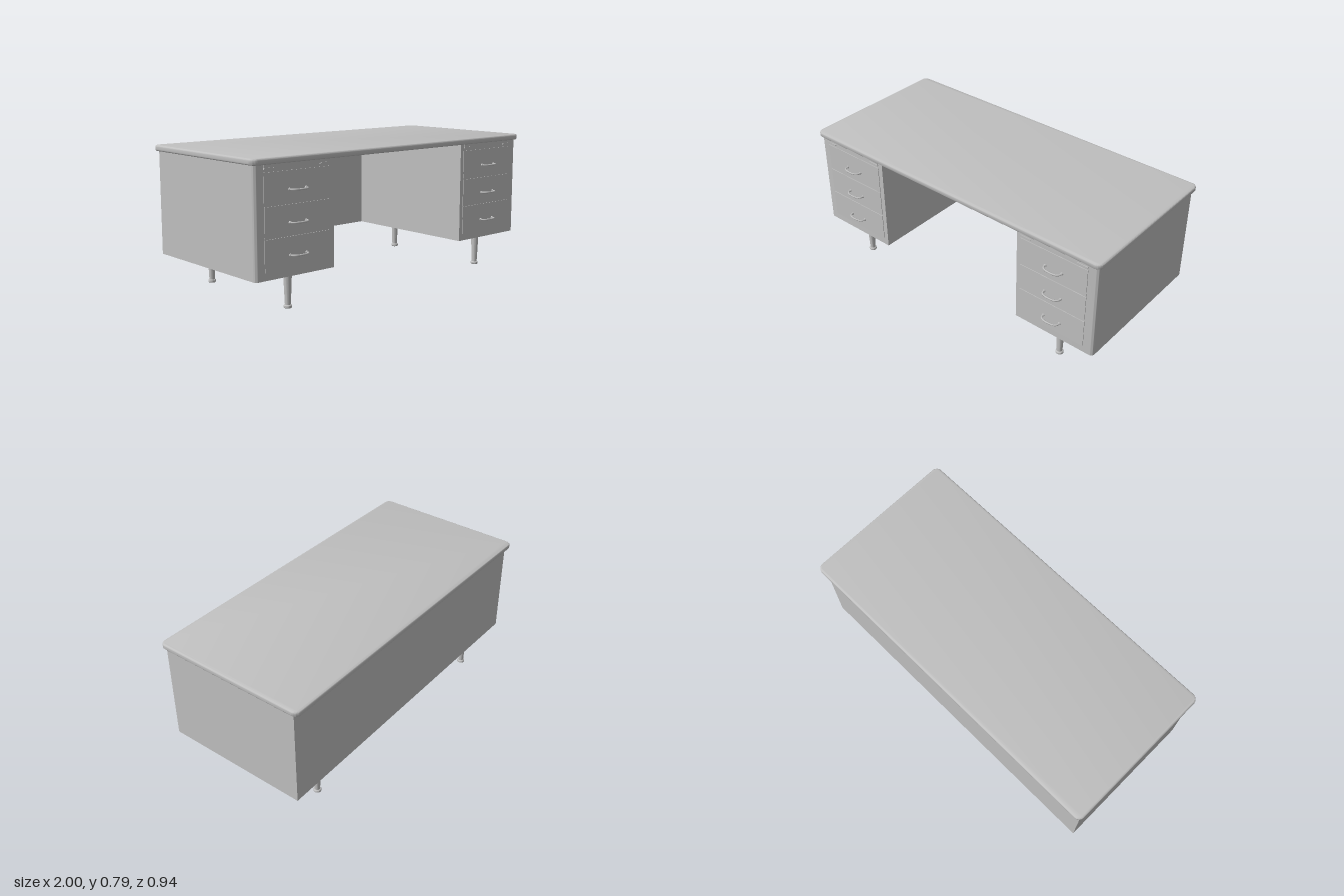
import * as THREE from 'three';
import { toCreasedNormals } from 'three/addons/utils/BufferGeometryUtils.js';

const steel = new THREE.MeshStandardMaterial({ color: 0xbfbfbf });
steel.name = 'grey steel';

function add(parent, name, geometry, x = 0, y = 0, z = 0) {
  const mesh = new THREE.Mesh(geometry, steel);
  mesh.name = name;
  mesh.position.set(x, y, z);
  parent.add(mesh);
  return mesh;
}

// Box given by its limits
function block(parent, name, x0, x1, y0, y1, z0, z1) {
  return add(parent, name, new THREE.BoxGeometry(x1 - x0, y1 - y0, z1 - z0),
    (x0 + x1) / 2, (y0 + y1) / 2, (z0 + z1) / 2);
}

// Upright slab with rounded plan corners: radii are [frontLeft, frontRight, backRight, backLeft] in x, z
function slab(x0, x1, y0, y1, z0, z1, [a, b, c, d], bevel = 0) {
  const l = x0 + bevel, r = x1 - bevel, f = -z1 + bevel, k = -z0 - bevel;
  const s = new THREE.Shape();
  s.moveTo(l + a, f);
  s.lineTo(r - b, f);
  if (b) s.absarc(r - b, f + b, b, -Math.PI / 2, 0);
  s.lineTo(r, k - c);
  if (c) s.absarc(r - c, k - c, c, 0, Math.PI / 2);
  s.lineTo(l + d, k);
  if (d) s.absarc(l + d, k - d, d, Math.PI / 2, Math.PI);
  s.lineTo(l, f + a);
  if (a) s.absarc(l + a, f + a, a, Math.PI, Math.PI * 1.5);
  const g = new THREE.ExtrudeGeometry(s, {
    depth: y1 - y0 - 2 * bevel, curveSegments: 6,
    bevelEnabled: bevel > 0, bevelSize: bevel, bevelThickness: bevel, bevelSegments: 4,
  });
  g.rotateX(-Math.PI / 2).translate(0, y0 + bevel, 0);
  return toCreasedNormals(g, 0.7);
}

// Bowed drawer pull with two round bases
function pull(parent, x, y) {
  const handle = new THREE.Group();
  handle.name = 'drawerPull';
  handle.position.set(x, y, 0.43);
  const path = new THREE.CatmullRomCurve3([
    [-0.052, 0], [-0.05, 0.018], [-0.037, 0.031], [0, 0.037], [0.037, 0.031], [0.05, 0.018], [0.052, 0],
  ].map(([px, pz]) => new THREE.Vector3(px, 0, pz)));
  add(handle, 'pullBar', new THREE.TubeGeometry(path, 28, 0.005, 8));
  for (const side of [-1, 1]) {
    const base = new THREE.CylinderGeometry(0.007, 0.008, 0.008, 12).rotateX(Math.PI / 2);
    add(handle, 'pullBase', base, side * 0.052, 0, 0.006);
  }
  parent.add(handle);
}

const legProfile = [
  [0, 0], [0.018, 0], [0.022, 0.004], [0.022, 0.013], [0.019, 0.017],
  [0.0155, 0.018], [0.0225, 0.185], [0, 0.185],
].map(([r, y]) => new THREE.Vector2(r, y));
const legGeometry = toCreasedNormals(new THREE.LatheGeometry(legProfile, 20), 0.6);

export function createModel() {
  const desk = new THREE.Group();
  desk.name = 'desk';

  // Top and back panel
  add(desk, 'deskTop', slab(-1, 1, 0.756, 0.789, -0.472, 0.445, [0.025, 0.025, 0.025, 0.025], 0.01));
  block(desk, 'backPanel', -0.49, 0.49, 0.188, 0.757, -0.438, -0.42);

  for (const side of [-1, 1]) {
    const pedestal = new THREE.Group();
    pedestal.name = side > 0 ? 'leftPedestal' : 'rightPedestal';
    desk.add(pedestal);

    // Cabinet with a softened outer front corner
    const [x0, x1] = side > 0 ? [0.485, 0.983] : [-0.983, -0.485];
    const radii = side > 0 ? [0, 0.02, 0, 0] : [0.02, 0, 0, 0];
    add(pedestal, 'cabinet', slab(x0, x1, 0.188, 0.757, -0.438, 0.428, radii));

    // Three drawer fronts with narrow gaps
    const d0 = side > 0 ? 0.51 : -0.927, d1 = d0 + 0.413;
    for (const [low, high, grip] of [[0.556, 0.718, 0.624], [0.396, 0.55, 0.46], [0.228, 0.39, 0.296]]) {
      block(pedestal, 'drawerFront', d0, d1, low, high, 0.42, 0.4315);
      pull(pedestal, side * 0.722, grip);
    }

    // Pull-out writing board with finger tabs
    block(pedestal, 'writingBoard', d0, d1, 0.736, 0.756, 0.42, 0.4315);
    for (const tx of [d0, d1 - 0.065]) {
      block(pedestal, 'boardTab', tx, tx + 0.065, 0.732, 0.74, 0.425, 0.435);
    }

    // Tapered legs on square mounting plates
    for (const z of [0.345, -0.35]) {
      add(pedestal, 'leg', legGeometry, side * 0.725, 0, z);
      block(pedestal, 'legPlate', side * 0.725 - 0.046, side * 0.725 + 0.046, 0.183, 0.19, z - 0.045, z + 0.045);
    }
  }
  return desk;
}
